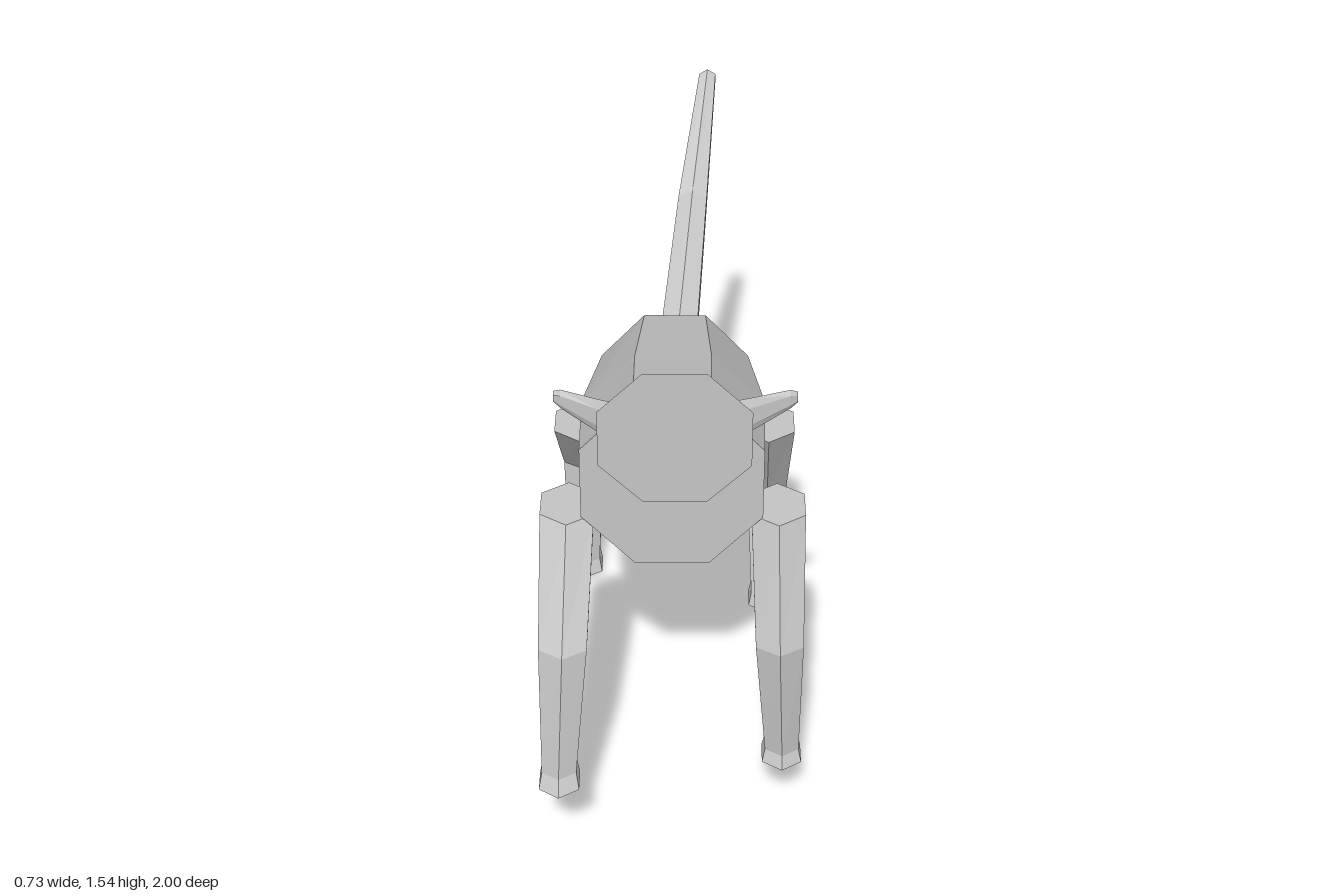
import * as THREE from 'three';

const coat = new THREE.MeshStandardMaterial({ color: 0xc4c4c4, flatShading: true });
coat.name = 'grey coat';

// Closed loft through flat rings [x, y, z, radiusU, radiusV], listed along the direction U x V.
function loft(name, rings, sides, U, V, offset = 0) {
  const pts = rings.map(([x, y, z, ru, rv]) =>
    Array.from({ length: sides }, (_, i) => {
      const a = offset + (i / sides) * Math.PI * 2;
      return new THREE.Vector3(x, y, z)
        .addScaledVector(U, Math.cos(a) * ru)
        .addScaledVector(V, Math.sin(a) * rv);
    }));
  const pos = [];
  const tri = (...corners) => corners.forEach((p) => pos.push(p.x, p.y, p.z));
  for (let r = 0; r < rings.length - 1; r++) {
    for (let i = 0; i < sides; i++) {
      const j = (i + 1) % sides;
      const a = pts[r], b = pts[r + 1];
      tri(a[i], a[j], b[j]);
      tri(a[i], b[j], b[i]);
    }
  }
  // End caps
  const first = pts[0], last = pts[pts.length - 1];
  for (let i = 1; i < sides - 1; i++) {
    tri(first[0], first[i + 1], first[i]);
    tri(last[0], last[i], last[i + 1]);
  }
  const geo = new THREE.BufferGeometry();
  geo.setAttribute('position', new THREE.Float32BufferAttribute(pos, 3));
  geo.computeVertexNormals();
  const mesh = new THREE.Mesh(geo, coat);
  mesh.name = name;
  return mesh;
}

const X = new THREE.Vector3(1, 0, 0);
const Y = new THREE.Vector3(0, 1, 0);
const Z = new THREE.Vector3(0, 0, 1);

// Octagon ring with flat sides, given by half width and half height
const octagon = (x, y, z, w, h) => {
  const k = Math.cos(Math.PI / 8);
  return [x, y, z, w / k, h / k];
};

// Six-sided leg: rings from foot to hip as [x, y, z, half depth, half width]
const leg = (name, rings) =>
  loft(name, rings.map(([x, y, z, d, w]) => [x, y, z, d, w / 0.866]), 6, Z, X);

export function createModel() {
  const model = new THREE.Group();
  model.name = 'animal';

  // Trunk, rear to chest
  model.add(loft('body', [
    octagon(-0.002, 0.757, -0.31, 0.222, 0.245),
    octagon(-0.004, 0.905, 0.17, 0.26, 0.26),
    octagon(-0.004, 1.066, 0.64, 0.244, 0.263),
  ], 8, X, Y, Math.PI / 8));

  // Head, neck to flat face
  model.add(loft('head', [
    octagon(0, 1.188, 0.64, 0.152, 0.143),
    octagon(0.005, 1.35, 0.84, 0.195, 0.195),
  ], 8, X, Y, Math.PI / 8));

  // Thin ears
  model.add(loft('leftEar', [
    [0.15, 1.38, 0.8, 0.058, 0.01],
    [0.2, 1.398, 0.797, 0.05, 0.01],
    [0.295, 1.432, 0.78, 0.028, 0.009],
    [0.313, 1.435, 0.775, 0.016, 0.007],
  ], 6, Y, Z));
  model.add(loft('rightEar', [
    [-0.3, 1.438, 0.78, 0.016, 0.007],
    [-0.282, 1.432, 0.783, 0.028, 0.009],
    [-0.19, 1.392, 0.797, 0.05, 0.01],
    [-0.15, 1.375, 0.8, 0.058, 0.01],
  ], 6, Y, Z));

  // Tail, tip to root
  model.add(loft('tail', [
    [0.095, 1.45, -1, 0.029, 0.03],
    [0.05, 1.135, -0.76, 0.051, 0.046],
    [0.002, 0.832, -0.31, 0.066, 0.058],
  ], 6, X, Y, Math.PI / 6));

  // Front legs, the right one reaching forward
  model.add(leg('leftFrontLeg', [
    [0.305, 0.2, 0.74, 0.071, 0.055],
    [0.305, 0.235, 0.732, 0.059, 0.047],
    [0.29, 0.61, 0.728, 0.075, 0.065],
    [0.283, 0.945, 0.565, 0.097, 0.073],
  ]));
  model.add(leg('rightFrontLeg', [
    [-0.31, 0.27, 0.93, 0.07, 0.055],
    [-0.31, 0.31, 0.912, 0.058, 0.047],
    [-0.295, 0.67, 0.815, 0.075, 0.065],
    [-0.287, 0.945, 0.565, 0.097, 0.073],
  ]));

  // Hind legs
  model.add(leg('leftHindLeg', [
    [0.293, 0, -0.205, 0.075, 0.058],
    [0.293, 0.04, -0.212, 0.063, 0.05],
    [0.29, 0.355, -0.37, 0.074, 0.062],
    [0.283, 0.67, -0.23, 0.11, 0.08],
  ]));
  model.add(leg('rightHindLeg', [
    [-0.297, 0.01, -0.365, 0.075, 0.058],
    [-0.297, 0.05, -0.375, 0.063, 0.05],
    [-0.293, 0.4, -0.43, 0.074, 0.062],
    [-0.288, 0.67, -0.23, 0.11, 0.08],
  ]));

  return model;
}
